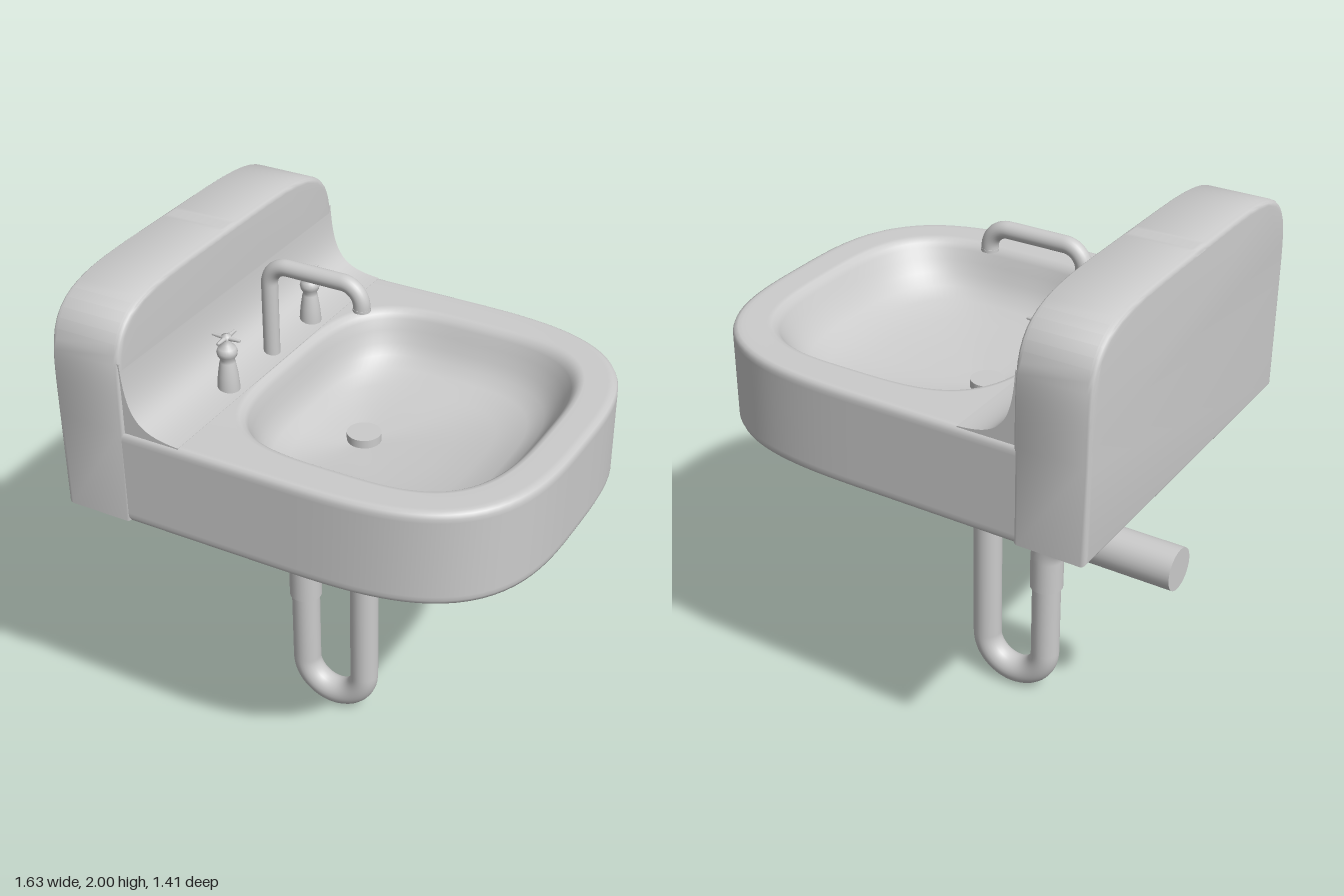
import * as THREE from 'three';
import { toCreasedNormals } from 'three/addons/utils/BufferGeometryUtils.js';

const material = new THREE.MeshStandardMaterial({ color: 0xcccccc, side: THREE.DoubleSide });
const SEG = 128;

function add(parent, name, geometry, x = 0, y = 0, z = 0) {
  const mesh = new THREE.Mesh(geometry, material);
  mesh.name = name;
  mesh.position.set(x, y, z);
  parent.add(mesh);
  return mesh;
}

// Rounded-square outline in plan, as [x, z] points; the rear half may be squarer than the front
function outline(cx, cz, front, rear, halfWidth, nFront, nRear) {
  return Array.from({ length: SEG }, (_, i) => {
    const t = (i / SEG) * Math.PI * 2, c = Math.cos(t), s = Math.sin(t);
    const a = c > 0 ? front : rear, n = c > 0 ? nFront : nRear;
    const r = Math.pow(Math.abs(c / a) ** n + Math.abs(s / halfWidth) ** n, -1 / n);
    return [cx + r * c, cz + r * s];
  });
}

// Outline scaled about a point and lifted to a height
const ring = (points, scale, y, cx = 0, cz = 0) =>
  points.map(([x, z]) => [cx + (x - cx) * scale, y, cz + (z - cz) * scale]);

// Skin a stack of closed rings
function loft(rings) {
  const index = [];
  for (let i = 0; i < rings.length - 1; i++) {
    for (let j = 0; j < SEG; j++) {
      const k = (j + 1) % SEG, a = i * SEG + j, b = i * SEG + k;
      index.push(a, a + SEG, b, b, a + SEG, b + SEG);
    }
  }
  const geometry = new THREE.BufferGeometry();
  geometry.setAttribute('position', new THREE.Float32BufferAttribute(rings.flat(2), 3));
  geometry.setIndex(index);
  geometry.computeVertexNormals();
  return geometry;
}

// Round pipe through straight runs with circular-looking bends at the given corners
function pipe(points, bend, radius, segments = 80) {
  const path = new THREE.CurvePath();
  const v = points.map(([x, y]) => new THREE.Vector3(x, y, 0));
  let from = v[0];
  for (let i = 1; i < v.length - 1; i++) {
    const inDir = v[i - 1].clone().sub(v[i]).normalize();
    const outDir = v[i + 1].clone().sub(v[i]).normalize();
    const p = v[i].clone().addScaledVector(inDir, bend);
    const q = v[i].clone().addScaledVector(outDir, bend);
    if (from.distanceTo(p) > 1e-4) path.add(new THREE.LineCurve3(from, p));
    path.add(new THREE.CubicBezierCurve3(p, p.clone().addScaledVector(inDir, -bend * 0.552),
      q.clone().addScaledVector(outDir, -bend * 0.552), q));
    from = q;
  }
  path.add(new THREE.LineCurve3(from, v[v.length - 1]));
  return new THREE.TubeGeometry(path, segments, radius, 24);
}

export function createModel() {
  const model = new THREE.Group();
  model.name = 'wallSink';

  // Basin: underside, outer wall, deck, then down into the bowl towards the drain
  const outer = outline(0, 0, 0.815, 0.8, 0.703, 3.2, 30);
  const rim = outline(0.175, 0, 0.485, 0.485, 0.53, 3.2, 3.6);
  const bowl = [[1.08, 1.54], [1.05, 1.537], [1.02, 1.525], [1, 1.508], [0.97, 1.47], [0.93, 1.425],
    [0.88, 1.385], [0.8, 1.35], [0.65, 1.32], [0.45, 1.3], [0.25, 1.285], [0, 1.275]];
  add(model, 'basin', loft([
    ...[[0, 1.18], [0.96, 1.18], [0.975, 1.18], [0.993, 1.186], [1, 1.2], [1, 1.215], [1, 1.505],
      [1, 1.52], [0.993, 1.534], [0.978, 1.54], [0.96, 1.54]].map(([s, y]) => ring(outer, s, y)),
    ...bowl.map(([s, y]) => s >= 1 ? ring(rim, s, y, 0.175, 0) : ring(rim, s, y, -0.03, 0)),
  ]));

  // Block under the bowl
  const under = outline(-0.052, -0.01, 0.412, 0.412, 0.42, 3.6, 4.5);
  add(model, 'bowlUnderside', loft([[0, 0.965], [0.93, 0.965], [0.96, 0.967], [0.988, 0.975], [1, 0.99],
    [1, 1.01], [1, 1.2]].map(([s, y]) => ring(under, s, y, -0.052, -0.01))));

  // Splashback with soft upper corners
  const back = new THREE.Shape();
  back.moveTo(-0.705, 1.18);
  back.lineTo(0.705, 1.18);
  for (let i = 0; i <= 64; i++) {
    const t = (i / 64) * Math.PI, c = Math.cos(t), s = Math.sin(t);
    const r = Math.pow(Math.abs(c / 0.705) ** 5 + Math.abs(s / 0.46) ** 5, -1 / 5);
    back.lineTo(r * c, 1.54 + r * s);
  }
  const splash = new THREE.ExtrudeGeometry(back, { depth: 0.23, bevelEnabled: true, bevelThickness: 0.02,
    bevelSize: 0.02, bevelOffset: -0.02, bevelSegments: 4 });
  splash.rotateY(Math.PI / 2);
  add(model, 'splashback', toCreasedNormals(splash, 0.6), -0.8, 0, 0);

  // Cove between splashback and deck
  const cove = new THREE.Shape();
  cove.moveTo(-0.6, 1.5);
  cove.lineTo(-0.34, 1.5);
  cove.lineTo(-0.34, 1.541);
  cove.bezierCurveTo(-0.5, 1.55, -0.54, 1.6, -0.552, 1.8);
  cove.lineTo(-0.6, 1.8);
  const coveGeometry = new THREE.ExtrudeGeometry(cove, { depth: 1.386, bevelEnabled: false, curveSegments: 24 });
  add(model, 'cove', toCreasedNormals(coveGeometry, 0.6), 0, 0, -0.693);

  // Drain stopper
  add(model, 'drain', new THREE.CylinderGeometry(0.063, 0.063, 0.06, 32), -0.03, 1.28, -0.012);

  // Spout
  const spout = new THREE.Group();
  spout.name = 'spout';
  add(spout, 'spoutPipe', pipe([[-0.4, 1.5], [-0.4, 1.895], [-0.032, 1.895], [-0.032, 1.805]], 0.075, 0.03));
  add(spout, 'spoutMouth', new THREE.CylinderGeometry(0.031, 0.031, 0.01, 24), -0.032, 1.81, 0);
  model.add(spout);

  // Taps: turned body with a four-spoke handle
  const tapProfile = [[0.04, 1.5], [0.04, 1.555], [0.036, 1.6], [0.028, 1.65], [0.024, 1.66], [0.034, 1.675],
    [0.037, 1.69], [0.032, 1.705], [0.018, 1.718], [0.015, 1.735], [0.017, 1.75], [0, 1.757]];
  for (const z of [0.287, -0.273]) {
    const tap = new THREE.Group();
    tap.name = z > 0 ? 'rightTap' : 'leftTap';
    tap.position.set(-0.4, 0, z);
    add(tap, 'tapBody', new THREE.LatheGeometry(tapProfile.map(([r, y]) => new THREE.Vector2(r, y)), 24));
    for (let i = 0; i < 4; i++) {
      const spoke = new THREE.CylinderGeometry(0.005, 0.01, 0.055, 10);
      spoke.rotateZ(-Math.PI / 2).translate(0.0285, 0, 0).rotateY(i * Math.PI / 2);
      add(tap, 'tapSpoke', spoke, 0, 1.742, 0);
    }
    model.add(tap);
  }

  // Waste trap
  const trap = new THREE.Group();
  trap.name = 'wasteTrap';
  add(trap, 'tailCollar', new THREE.CylinderGeometry(0.073, 0.073, 0.14, 32), -0.022, 0.91, 0);
  add(trap, 'trapBend', pipe([[-0.025, 0.86], [-0.025, 0.055], [-0.285, 0.055], [-0.285, 0.52]], 0.1299, 0.055, 120));
  add(trap, 'elbow', pipe([[-0.285, 0.495], [-0.285, 0.762], [-0.47, 0.762]], 0.14, 0.063));
  add(trap, 'elbowEnd', new THREE.CylinderGeometry(0.063, 0.063, 0.01, 24), -0.285, 0.5, 0);
  const wall = add(trap, 'wallPipe', new THREE.CylinderGeometry(0.082, 0.082, 0.365, 32), -0.6375, 0.765, 0);
  wall.rotation.z = Math.PI / 2;
  model.add(trap);

  return model;
}
